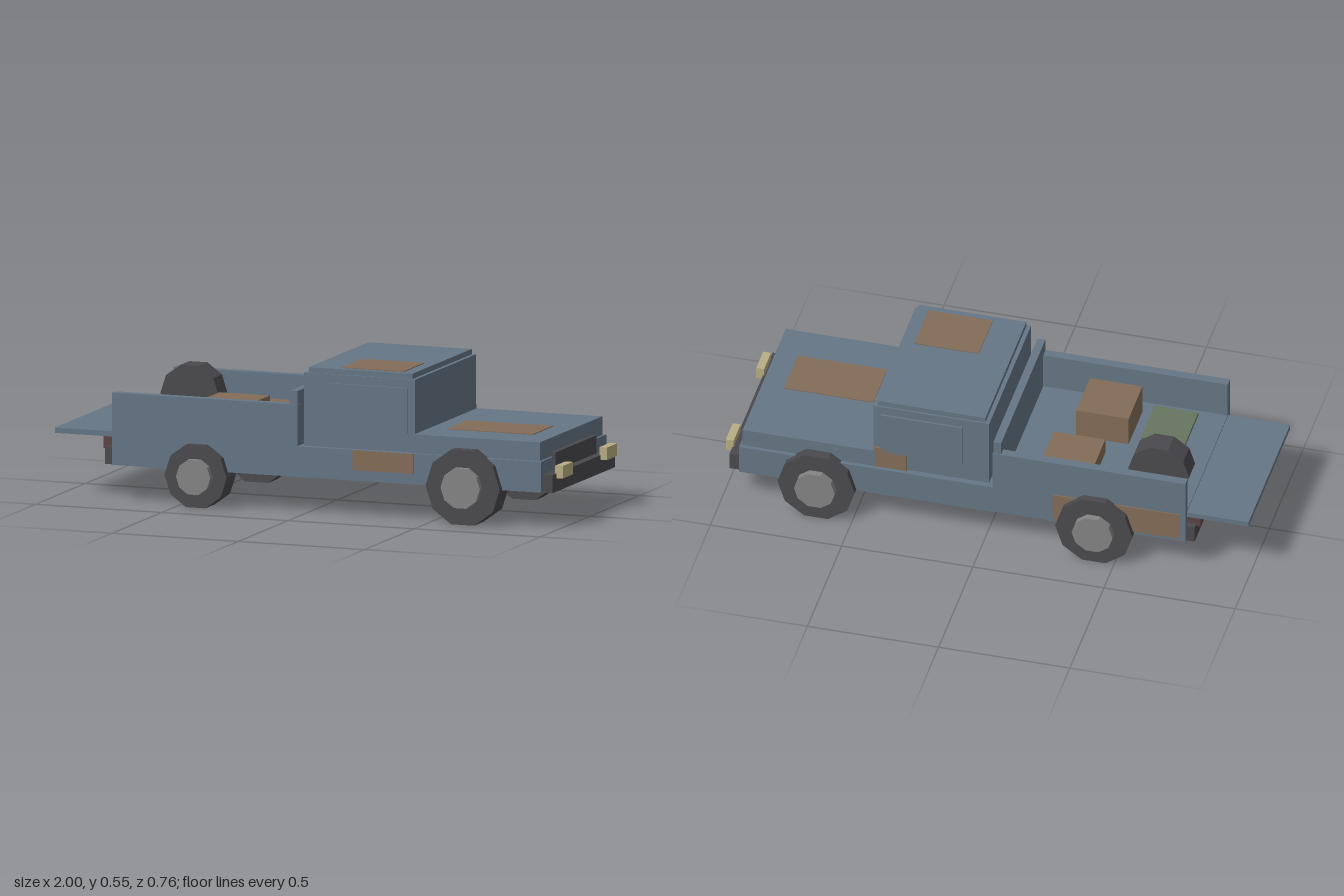
import * as THREE from 'three';

const mat = (name, color) => {
  const m = new THREE.MeshStandardMaterial({ color, flatShading: true });
  m.name = name;
  return m;
};

export function createModel() {
  const paint = mat('blue grey paint', 0x657685);
  const rust = mat('rust brown', 0x836c58);
  const rubber = mat('dark rubber', 0x4a494d);
  const steel = mat('hub grey', 0x848484);
  const lamp = mat('lamp cream', 0xb8ae84);
  const canvas = mat('olive canvas', 0x667560);
  const tail = mat('tail lamp brown', 0x5a4442);

  const truck = new THREE.Group();
  truck.name = 'pickupTruck';

  // Box given by its limits on each axis
  const box = (name, m, [x0, x1], [y0, y1], [z0, z1]) => {
    const mesh = new THREE.Mesh(new THREE.BoxGeometry(x1 - x0, y1 - y0, z1 - z0), m);
    mesh.position.set((x0 + x1) / 2, (y0 + y1) / 2, (z0 + z1) / 2);
    mesh.name = name;
    truck.add(mesh);
  };
  // The same box on both sides of the truck
  const pair = (name, m, x, y, [z0, z1]) => {
    box(name + 'Near', m, x, y, [z0, z1]);
    box(name + 'Far', m, x, y, [-z1, -z0]);
  };
  // Ten-sided disc with its axis along z and a flat at the bottom
  const disc = (name, m, r, x, y, z0, z1) => {
    const g = new THREE.CylinderGeometry(r, r, z1 - z0, 10, 1, false, Math.PI / 2);
    g.rotateX(Math.PI / 2);
    const mesh = new THREE.Mesh(g, m);
    mesh.position.set(x, y, (z0 + z1) / 2);
    mesh.name = name;
    truck.add(mesh);
  };

  // Body, bonnet and cab
  box('lowerBody', paint, [-0.03, 0.935], [0.135, 0.25], [-0.33, 0.33]);
  box('bonnet', paint, [0.42, 0.925], [0.25, 0.32], [-0.315, 0.315]);
  box('cab', paint, [-0.012, 0.428], [0.25, 0.523], [-0.307, 0.307]);
  box('roof', paint, [0.004, 0.414], [0.523, 0.543], [-0.3, 0.3]);
  pair('windowPanel', paint, [0.09, 0.4], [0.32, 0.49], [0.307, 0.315]);

  // Cargo bed
  box('bedFloor', paint, [-0.765, -0.03], [0.135, 0.262], [-0.295, 0.295]);
  pair('bedSide', paint, [-0.765, -0.03], [0.135, 0.405], [0.293, 0.327]);
  box('bulkhead', paint, [-0.062, -0.032], [0.25, 0.455], [-0.323, 0.323]);
  box('tailgate', paint, [-1, -0.76], [0.237, 0.257], [-0.305, 0.305]);

  // Bumpers, grille and lamps
  box('frontBumper', rubber, [0.93, 0.975], [0.133, 0.2], [-0.315, 0.315]);
  box('rearBumper', rubber, [-0.797, -0.76], [0.135, 0.2], [-0.315, 0.315]);
  box('grille', rubber, [0.92, 0.945], [0.2, 0.267], [-0.205, 0.205]);
  pair('headlamp', lamp, [0.97, 1], [0.183, 0.23], [0.172, 0.274]);
  pair('tailLamp', tail, [-0.813, -0.765], [0.19, 0.235], [0.21, 0.29]);

  // Wheels; the rear one on the near side is a smaller replacement
  const wheels = [
    ['frontWheelNear', 0.635, 1, 0.147, 0.078], ['frontWheelFar', 0.635, -1, 0.147, 0.078],
    ['rearWheelNear', -0.423, 1, 0.123, 0.068], ['rearWheelFar', -0.423, -1, 0.147, 0.078],
  ];
  for (const [name, x, side, r, hub] of wheels) {
    const y = r * Math.cos(Math.PI / 10);
    const span = (a, b) => (side > 0 ? [a, b] : [-b, -a]);
    disc(name + 'Tyre', rubber, r, x, y, ...span(0.26, 0.355));
    disc(name + 'Hub', steel, hub, x, y, ...span(0.35, 0.38));
  }

  // Cargo
  disc('spareTyre', rubber, 0.116, -0.63, 0.337, -0.2, -0.112);
  box('tallCrate', rust, [-0.455, -0.255], [0.26, 0.38], [0.033, 0.235]);
  box('lowCrate', rust, [-0.385, -0.19], [0.26, 0.325], [-0.212, -0.04]);
  box('foldedTarp', canvas, [-0.66, -0.493], [0.26, 0.275], [0.067, 0.267]);

  // Rust patches
  box('bonnetPatch', rust, [0.5, 0.84], [0.318, 0.323], [-0.035, 0.167]);
  box('roofPatch', rust, [0.125, 0.37], [0.541, 0.546], [0.068, 0.273]);
  box('doorPatchNear', rust, [0.19, 0.43], [0.175, 0.249], [0.328, 0.333]);
  box('doorPatchFar', rust, [0.3, 0.427], [0.25, 0.336], [-0.315, -0.306]);
  box('bedPatchFar', rust, [-0.745, -0.26], [0.15, 0.26], [-0.332, -0.325]);

  return truck;
}
